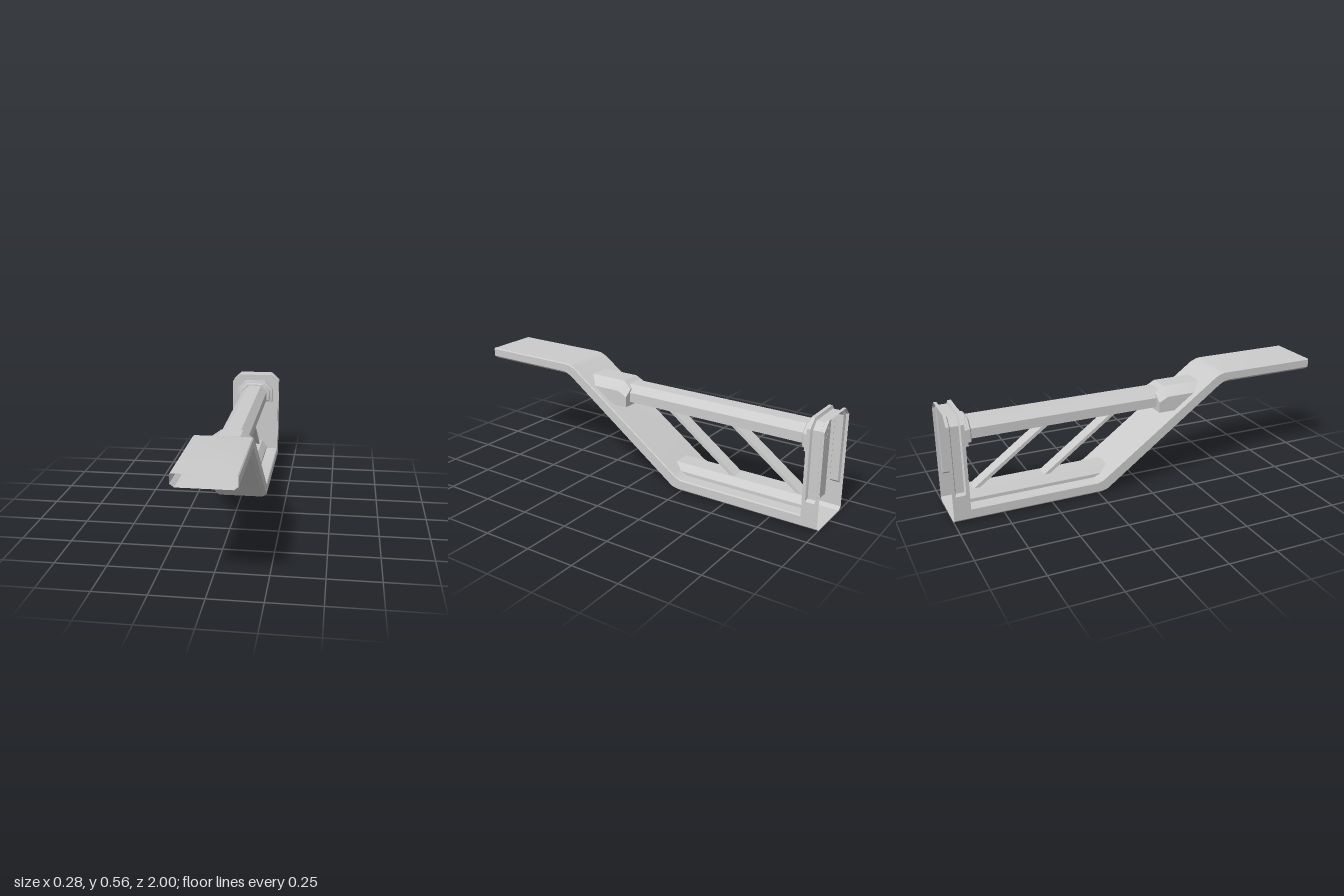
import * as THREE from 'three';
import { toCreasedNormals } from 'three/addons/utils/BufferGeometryUtils.js';

const material = new THREE.MeshStandardMaterial({ color: 0xcccccc, side: THREE.DoubleSide });

// Mirrors a right-hand half section (bottom to top) into a closed ring
const mirror = (half) => half.concat([...half].reverse().map(([x, ...rest]) => [-x, ...rest]));

// Skins a series of rings running from +z to -z, with optional flat caps
function loft(rings, capFront = false, capBack = false) {
  const pos = [];
  const tri = (...pts) => pts.forEach((p) => pos.push(...p));
  const n = rings[0].length;
  for (let i = 0; i < rings.length - 1; i++) {
    for (let j = 0; j < n; j++) {
      const k = (j + 1) % n;
      const a = rings[i][j], b = rings[i][k], c = rings[i + 1][k], d = rings[i + 1][j];
      tri(a, d, c);
      tri(a, c, b);
    }
  }
  const last = rings[rings.length - 1];
  for (let j = 1; j < n - 1; j++) {
    if (capFront) tri(rings[0][0], rings[0][j], rings[0][j + 1]);
    if (capBack) tri(last[0], last[j + 1], last[j]);
  }
  const geo = new THREE.BufferGeometry();
  geo.setAttribute('position', new THREE.Float32BufferAttribute(pos, 3));
  return toCreasedNormals(geo, 0.45);
}

// Section with a flat bottom and chamfered top corners; z may depend on y
function section(w, y0, shoulder, top, wTop, z) {
  const at = typeof z === 'function' ? z : () => z;
  return mirror([[w, y0], [w, shoulder], [wTop, top]].map(([x, y]) => [x, y, at(y)]));
}

// z of the sloping deck's upper face at height y, sunk slightly into it
const slopeZ = (y) => 0.19 + (y - 0.375) / 0.72 + 0.01;

export function createModel() {
  const group = new THREE.Group();
  const add = (name, geo) => {
    const mesh = new THREE.Mesh(geo, material);
    mesh.name = name;
    group.add(mesh);
  };
  const W = 0.142;

  // Hollow bent band, open at its ends: [z top, y top, z bottom, y bottom]
  const stations = [
    [1, 0.555, 1, 0.495], [0.475, 0.555, 0.495, 0.495], [0.45, 0.551, 0.47, 0.49],
    [0.42, 0.538, 0.44, 0.474], [-0.205, 0.09, -0.185, 0.02], [-0.225, 0.076, -0.205, 0.006],
    [-0.255, 0.065, -0.235, 0], [-0.915, 0.065, -0.915, 0],
  ];
  add('band', loft(stations.map(([zt, yt, zb, yb]) => mirror([
    [W - 0.02, yb, zb], [W, yb + 0.015, zb], [W, yt - 0.005, zt], [W - 0.005, yt, zt],
  ]))));

  // Hollow rear post, open at the back, with a groove around sides and top
  const postRing = (z, d) => mirror([
    [W - 0.02, 0, z], [W, 0.015, z], [W, 0.14, z], [W - d, 0.152, z],
    [W - d, 0.497 - d * 0.4, z], [0.097 - d * 0.4, 0.54 - d, z],
  ]);
  add('postShell', loft([
    [-0.915, 0], [-0.932, 0], [-0.938, 0.014], [-0.979, 0.014], [-0.985, 0], [-1, 0],
  ].map(([z, d]) => postRing(z, d))));
  const wall = mirror([[W, 0.06], [W, 0.497], [0.097, 0.54]]);
  const wallGeo = new THREE.ShapeGeometry(new THREE.Shape(wall.map(([x, y]) => new THREE.Vector2(x, y))));
  add('postFrontWall', wallGeo.translate(0, 0, -0.915));

  // Upper beam
  add('beam', loft([0.14, -0.89].map((z) => section(0.075, 0.395, 0.445, 0.48, 0.038, z))));

  // Socket joining the beam to the slope, bevelled at its rear end
  add('socket', loft([
    section(0.11, 0.375, 0.455, 0.496, 0.055, slopeZ),
    section(0.11, 0.375, 0.455, 0.496, 0.055, 0.155),
    section(0.11, 0.375, 0.43, 0.462, 0.068, 0.105),
  ], false, true));

  // Stepped collar joining the beam to the post
  add('collar', loft([
    section(0.085, 0.39, 0.445, 0.487, 0.045, -0.872),
    section(0.093, 0.385, 0.45, 0.492, 0.052, -0.878),
    section(0.093, 0.385, 0.45, 0.492, 0.052, -0.89),
    section(0.11, 0.373, 0.455, 0.505, 0.06, -0.894),
    section(0.11, 0.373, 0.455, 0.505, 0.06, -0.916),
  ], true));

  // Raised rib along the floor, from the slope to the post
  add('floorRib', loft([slopeZ, -0.916].map((z) => section(0.075, 0.06, 0.082, 0.115, 0.045, z))));

  // Two slanted struts between beam and rib
  for (const z of [-0.085, -0.447]) {
    const shape = new THREE.Shape([
      [z, 0.4], [z - 0.03, 0.4], [z - 0.425, 0.112], [z - 0.395, 0.112],
    ].map(([a, b]) => new THREE.Vector2(a, b)));
    const geo = new THREE.ExtrudeGeometry(shape, { depth: 0.07, bevelEnabled: false });
    add('strut', geo.translate(0, 0, -0.035).rotateY(-Math.PI / 2));
  }
  return group;
}
